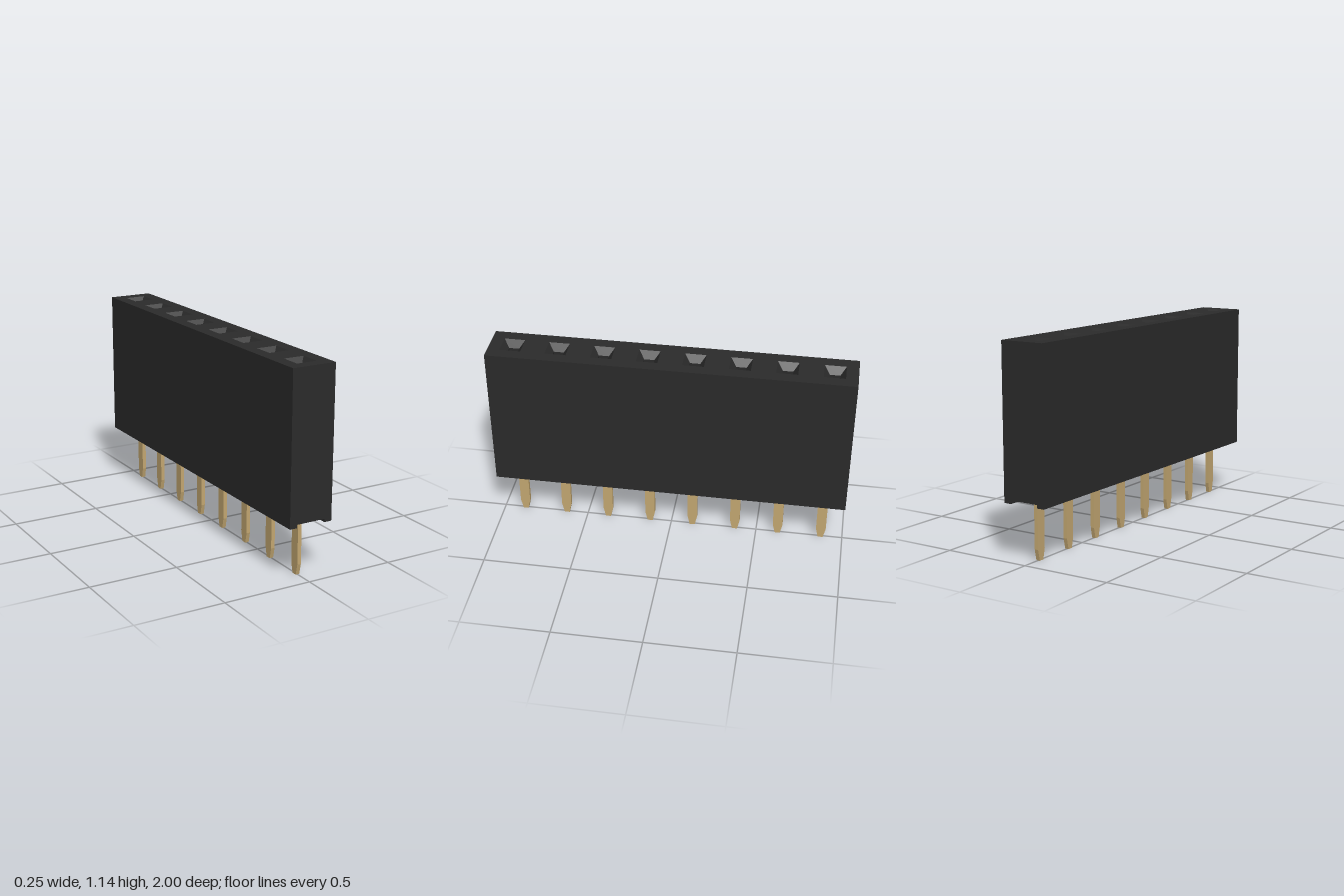
import * as THREE from 'three';

const COUNT = 8, PITCH = 0.25;
const HALF_W = 0.125, HALF_L = 1;
const BOTTOM = 0.31, GROOVE = 0.328, FLOOR = 0.45, TOP = 1.14;
const MOUTH = 0.058, HOLE = 0.028, FUNNEL = 0.04;

const slotZ = (i) => (i - (COUNT - 1) / 2) * PITCH;

function polygon(points, Type = THREE.Shape) {
  return new Type(points.map(([x, y]) => new THREE.Vector2(x, y)));
}

function rect(cx, cy, hw, hh, Type) {
  return polygon([[cx - hw, cy - hh], [cx + hw, cy - hh], [cx + hw, cy + hh], [cx - hw, cy + hh]], Type);
}

// Upper housing: a plan with eight square holes, each narrowing below its funnel mouth
function socketGeometry() {
  const plan = rect(0, 0, HALF_W, HALF_L);
  for (let i = 0; i < COUNT; i++) plan.holes.push(rect(0, slotZ(i), MOUTH, MOUTH, THREE.Path));
  const depth = TOP - FLOOR;
  const geo = new THREE.ExtrudeGeometry(plan, { depth, steps: 2, bevelEnabled: false });
  const p = geo.attributes.position;
  for (let i = 0; i < p.count; i++) {
    const x = p.getX(i), y = p.getY(i), z = p.getZ(i);
    if (z > depth - 0.001) continue;
    if (z > 0.001) p.setZ(i, depth - FUNNEL);
    if (Math.abs(x) < HALF_W - 0.01) {
      const centre = slotZ(Math.round(y / PITCH + (COUNT - 1) / 2));
      p.setX(i, x * HOLE / MOUTH);
      p.setY(i, centre + (y - centre) * HOLE / MOUTH);
    }
  }
  geo.rotateX(-Math.PI / 2);
  geo.translate(0, FLOOR, 0);
  geo.computeVertexNormals();
  return geo;
}

// Lower housing: a section with a shallow groove between two rails
function baseGeometry() {
  const rail = 0.083;
  const section = polygon([
    [-HALF_W, BOTTOM], [-rail, BOTTOM], [-rail, GROOVE], [rail, GROOVE],
    [rail, BOTTOM], [HALF_W, BOTTOM], [HALF_W, FLOOR], [-HALF_W, FLOOR],
  ]);
  const geo = new THREE.ExtrudeGeometry(section, { depth: 2 * HALF_L, bevelEnabled: false });
  return geo.translate(0, 0, -HALF_L);
}

// Flat pin with a tapered tip, reaching up into its socket
function pinGeometry() {
  const w = 0.028, tip = 0.015, top = 0.55, thick = 0.022;
  const outline = polygon([[-tip, 0], [tip, 0], [w, 0.06], [w, top], [-w, top], [-w, 0.06]]);
  const geo = new THREE.ExtrudeGeometry(outline, { depth: thick, bevelEnabled: false });
  geo.translate(0, 0, -thick / 2);
  return geo.rotateY(Math.PI / 2);
}

export function createModel() {
  const model = new THREE.Group();
  model.name = 'pinSocketStrip';
  const plastic = new THREE.MeshStandardMaterial({ color: 0x2b2b2b });
  const metal = new THREE.MeshStandardMaterial({ color: 0xc4a872 });

  const add = (name, geo, material, parent) => {
    const mesh = new THREE.Mesh(geo, material);
    mesh.name = name;
    parent.add(mesh);
    return mesh;
  };

  const housing = new THREE.Group();
  housing.name = 'housing';
  add('socketBlock', socketGeometry(), plastic, housing);
  add('groovedBase', baseGeometry(), plastic, housing);

  const pins = new THREE.Group();
  pins.name = 'pins';
  const pinGeo = pinGeometry();
  for (let i = 0; i < COUNT; i++) add(`pin${i + 1}`, pinGeo, metal, pins).position.z = slotZ(i);

  model.add(housing, pins);
  return model;
}
